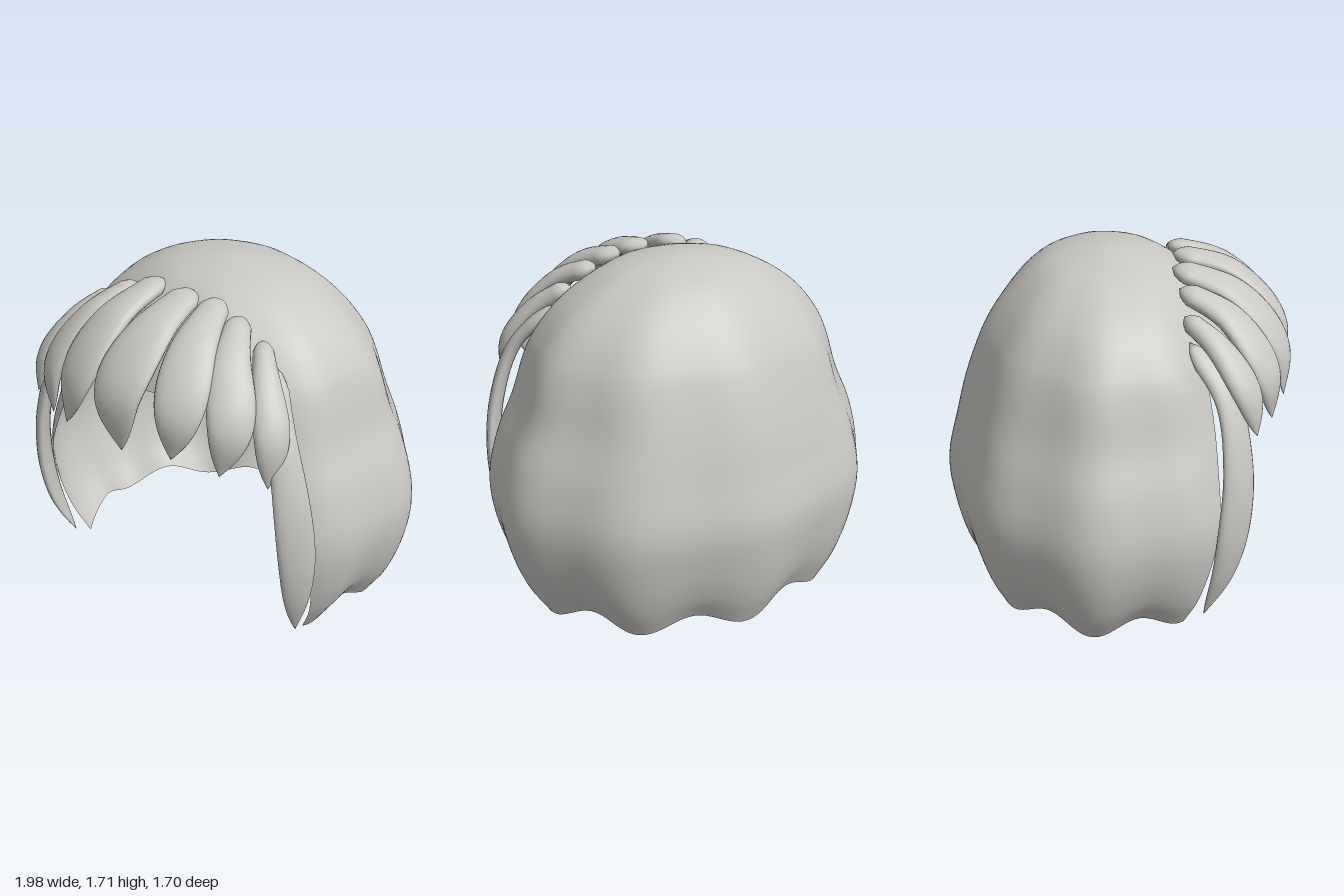
import * as THREE from 'three';
import { mergeVertices } from 'three/addons/utils/BufferGeometryUtils.js';

// Smooth surface from a grid of points; keep(row, col) drops faces
function gridSurface(rows, cols, point, keep = () => true) {
  const pos = [], idx = [];
  for (let i = 0; i <= rows; i++)
    for (let j = 0; j <= cols; j++) pos.push(...point(i, j));
  for (let i = 0; i < rows; i++)
    for (let j = 0; j < cols; j++) {
      if (!keep(i, j)) continue;
      const a = i * (cols + 1) + j, b = a + cols + 1;
      idx.push(a, b, a + 1, b, b + 1, a + 1);
    }
  let g = new THREE.BufferGeometry();
  g.setAttribute('position', new THREE.Float32BufferAttribute(pos, 3));
  g.setIndex(idx);
  g = mergeVertices(g, 1e-5);
  g.computeVertexNormals();
  return g;
}

// Head shell: half width, height, half depth from crown to hem
function shellGeometry() {
  const profile = [
    [0, 1.72, 0], [0.2, 1.695, 0.16], [0.38, 1.64, 0.31], [0.6, 1.5, 0.46], [0.73, 1.34, 0.57],
    [0.78, 1.23, 0.62], [0.84, 1.03, 0.69], [0.93, 0.83, 0.74], [0.98, 0.6, 0.79],
    [0.96, 0.4, 0.77], [0.89, 0.2, 0.72], [0.79, 0.05, 0.65],
  ];
  const curve = new THREE.CatmullRomCurve3(profile.map(p => new THREE.Vector3(...p)));
  const perSegment = 4, rows = (profile.length - 1) * perSegment, cols = 144;
  const browRow = 5 * perSegment;
  const point = (i, j) => {
    const p = curve.getPoint(i / rows);
    const u = 1 - (2 * j) / cols, s = Math.abs(u);
    // the face opening narrows towards the brow
    const edge = Math.PI * (0.667 + 0.085 * Math.min(1, p.y / 1.23));
    const angle = Math.sign(u) * (s <= 0.75 ? (s / 0.75) * edge
      : edge + ((s - 0.75) / 0.25) * (Math.PI - edge));
    const wave = Math.cos(9 * angle);
    const flute = 1 + 0.018 * wave * Math.min(1, i / browRow);
    const hem = Math.max(0, 1 - (p.y - 0.05) / 0.7) ** 2;
    return [p.x * flute * Math.sin(angle), p.y - 0.04 * wave * hem,
      -0.05 - p.z * flute * Math.cos(angle)];
  };
  const keep = (i, j) => i < browRow || Math.abs(1 - (2 * j + 1) / cols) < 0.75;
  return gridSurface(rows, cols, point, keep);
}

// Flattened lock swept along a path, widening to a pointed tip
function lockGeometry(points, halfWidth, halfThick, rootScale) {
  const curve = new THREE.CatmullRomCurve3(points.map(p => new THREE.Vector3(...p)));
  const rows = 36, cols = 20;
  const frames = [];
  for (let i = 0; i <= rows; i++) {
    const t = i / rows;
    const c = curve.getPointAt(t), tangent = curve.getTangentAt(t);
    const out = new THREE.Vector3(c.x, c.y - Math.min(c.y, 0.9), c.z);
    out.addScaledVector(tangent, -out.dot(tangent)).normalize();
    const side = new THREE.Vector3().crossVectors(tangent, out);
    const tip = 1 - Math.max(0, (t - 0.55) / 0.45) ** 2.4;
    const cap = Math.sqrt(Math.min(1, t / 0.08)) * tip;
    const grow = rootScale + (1 - rootScale) * THREE.MathUtils.smoothstep(t, 0, 0.6);
    frames.push({ c, out, side, w: halfWidth * grow * cap, h: halfThick * cap });
  }
  return gridSurface(rows, cols, (i, j) => {
    const f = frames[i], a = ((j % cols) / cols) * Math.PI * 2;
    return f.c.clone().addScaledVector(f.side, f.w * Math.cos(a))
      .addScaledVector(f.out, f.h * Math.sin(a)).toArray();
  });
}

export function createModel() {
  const group = new THREE.Group();
  const hair = new THREE.MeshStandardMaterial({ color: 0xc8c7c3, side: THREE.DoubleSide });
  hair.name = 'hair grey';
  const add = (name, geometry) => {
    const mesh = new THREE.Mesh(geometry, hair);
    mesh.name = name;
    group.add(mesh);
  };

  add('hairShell', shellGeometry());

  // Fringe locks: half width, then root, shoulder, bulge, tip
  const fringe = [
    [0.085, [-0.44, 1.52, 0.28], [-0.56, 1.41, 0.43], [-0.66, 1.23, 0.55], [-0.69, 1.03, 0.6]],
    [0.11, [-0.3, 1.6, 0.27], [-0.41, 1.49, 0.5], [-0.51, 1.26, 0.66], [-0.5, 1.02, 0.7]],
    [0.135, [-0.16, 1.65, 0.25], [-0.23, 1.54, 0.55], [-0.29, 1.3, 0.75], [-0.34, 1.06, 0.78]],
    [0.14, [0.03, 1.65, 0.27], [0.02, 1.56, 0.57], [-0.01, 1.32, 0.79], [0.02, 1.05, 0.81]],
    [0.125, [0.17, 1.64, 0.26], [0.24, 1.53, 0.55], [0.3, 1.3, 0.75], [0.28, 1.08, 0.78]],
    [0.11, [0.29, 1.59, 0.27], [0.4, 1.48, 0.49], [0.51, 1.25, 0.65], [0.48, 1.02, 0.69]],
    [0.085, [0.42, 1.51, 0.28], [0.55, 1.38, 0.43], [0.65, 1.2, 0.53], [0.66, 0.96, 0.57]],
  ];
  fringe.forEach(([width, ...path], i) =>
    add(`fringeLock${i + 1}`, lockGeometry(path, width, 0.045, 0.55)));

  // Long locks framing the face
  for (const [name, s] of [['leftSideLock', 1], ['rightSideLock', -1]]) {
    const path = [[0.5, 1.42, 0.3], [0.65, 1.2, 0.46], [0.745, 0.9, 0.51], [0.78, 0.6, 0.5],
      [0.765, 0.33, 0.46], [0.71, 0.06, 0.38]];
    add(name, lockGeometry(path.map(([x, y, z]) => [s * x, y, z]), 0.095, 0.035, 0.6));
  }
  return group;
}
